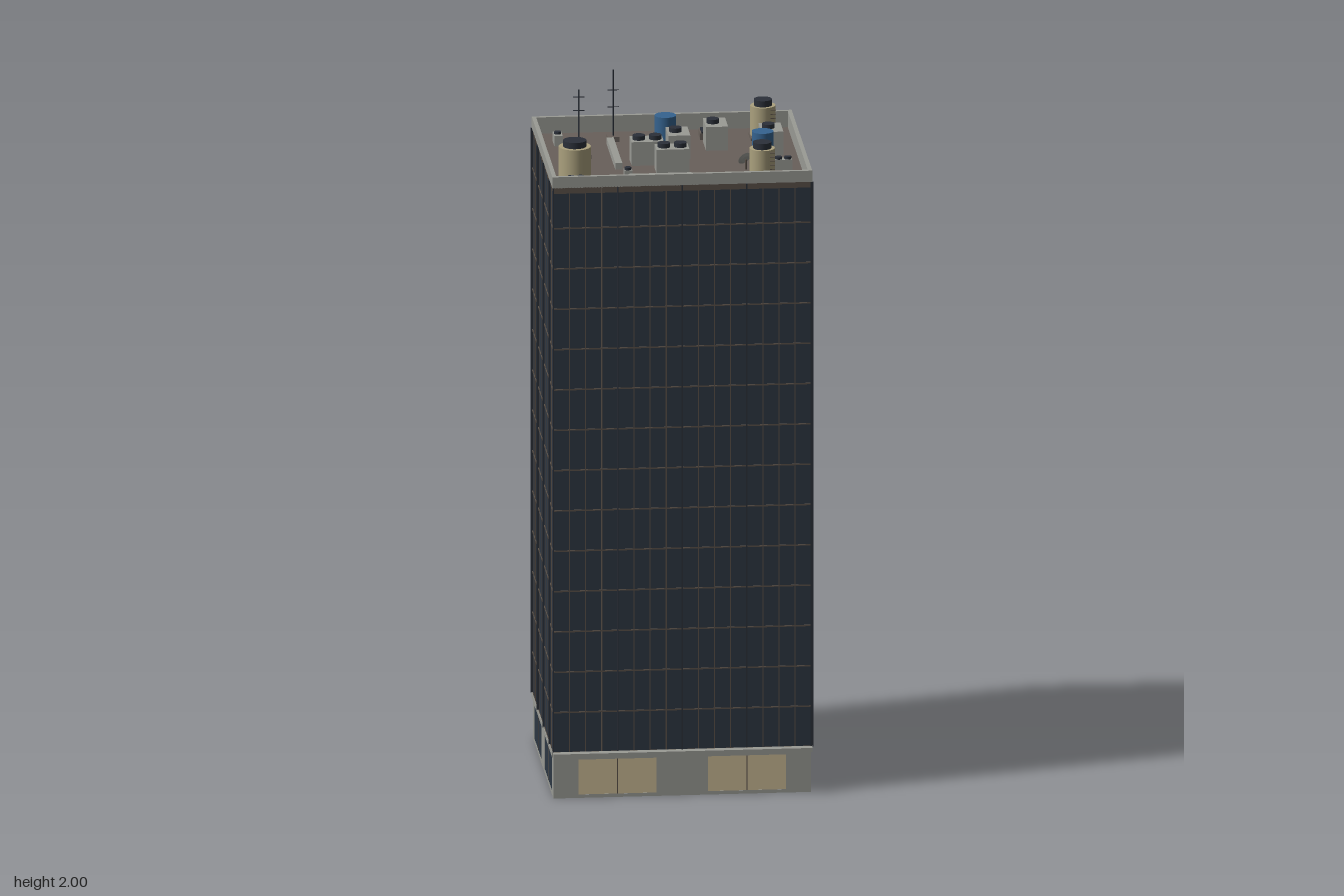
import * as THREE from 'three';

const mat = (name, color) => {
  const m = new THREE.MeshStandardMaterial({ color });
  m.name = name;
  return m;
};

export function createModel() {
  const concrete = mat('concrete', 0x9a9b95), glass = mat('dark glass', 0x2d3743);
  const trim = mat('bronze mullion', 0x5a5149), deckMat = mat('roof deck', 0x68605a);
  const tan = mat('tank tan', 0xaba17e), shop = mat('lit shop window', 0xc9b995);
  const blue = mat('blue tank', 0x35638f), dark = mat('dark metal', 0x2b3039);
  const root = new THREE.Group();
  root.name = 'officeTower';

  // Box given by its extents along each axis
  const box = (name, m, x0, x1, y0, y1, z0, z1, parent = root) => {
    const mesh = new THREE.Mesh(new THREE.BoxGeometry(x1 - x0, y1 - y0, z1 - z0), m);
    mesh.position.set((x0 + x1) / 2, (y0 + y1) / 2, (z0 + z1) / 2);
    mesh.name = name;
    parent.add(mesh);
    return mesh;
  };
  const cyl = (name, m, x, y0, y1, z, r, rTop = r, sides = 20, parent = root) => {
    const mesh = new THREE.Mesh(new THREE.CylinderGeometry(rTop, r, y1 - y0, sides), m);
    mesh.position.set(x, (y0 + y1) / 2, z);
    mesh.name = name;
    parent.add(mesh);
    return mesh;
  };
  // Four walls around a rectangle
  const ring = (name, m, x, zb, zf, y0, y1, t, parent = root) => {
    box(name, m, -x, x, y0, y1, zf - t, zf, parent);
    box(name, m, -x, x, y0, y1, zb, zb + t, parent);
    for (const s of [-1, 1])
      box(name, m, s * (x - t / 2) - t / 2, s * (x - t / 2) + t / 2, y0, y1, zb + t, zf - t, parent);
  };

  const X = 0.368, ZB = -0.321, ZF = 0.303, Y0 = 0.135, Y1 = 1.805, DECK = 1.79;

  // Tower body, roof deck and parapet
  box('towerGlass', glass, -X, X, 0.125, DECK - 0.002, ZB, ZF);
  box('roofDeck', deckMat, -X + 0.006, X - 0.006, DECK - 0.002, DECK, ZB + 0.006, ZF - 0.006);
  ring('parapetFoot', trim, X, ZB, ZF, DECK - 0.002, Y1, 0.008);
  ring('parapet', concrete, X + 0.003, ZB - 0.003, ZF + 0.002, Y1, 1.838, 0.012);
  ring('parapetLiner', concrete, X - 0.008, ZB + 0.008, ZF - 0.008, DECK, Y1, 0.001);

  // Curtain wall: floor lines, mullions and heavier posts
  const wall = new THREE.Group();
  wall.name = 'curtainWall';
  root.add(wall);
  const p = 0.002, w = 0.0015;
  for (let i = 0; i < 15; i++) {
    const y = Y0 + i * (Y1 - Y0) / 14;
    ring('floorLine', trim, X + p, ZB - p, ZF + p, y - 0.002, y + 0.002, 0.004, wall);
  }
  for (let i = 0; i <= 16; i++) {
    const x = -X + i * X / 8, post = i % 4 === 0;
    const d = post ? 0.005 : p, m = post ? dark : trim, n = post ? 'post' : 'mullion';
    const h = post ? 0.002 : w;
    box(n, m, x - h, x + h, Y0, Y1, ZF - 0.002, ZF + d, wall);
    box(n, m, x - h, x + h, Y0, Y1, ZB - d, ZB + 0.002, wall);
  }
  for (let i = 0; i < 15; i++) {
    const post = i % 4 === 0, d = post ? 0.006 : p, h = post ? 0.002 : w;
    const m = post ? dark : trim, n = post ? 'post' : 'mullion';
    if (i * 0.0447 > ZF - ZB) continue;
    const zr = ZF - i * 0.0447, zl = ZB + i * 0.0447;
    box(n, m, X - 0.002, X + d, Y0, Y1, zr - h, zr + h, wall);
    box(n, m, -X - d, -X + 0.002, Y0, Y1, zl - h, zl + h, wall);
  }

  // Ledge above the ground floor, deeper over the entrance
  ring('ledge', concrete, X + 0.004, ZB - 0.004, ZF + 0.004, 0.123, 0.137, 0.008);
  box('canopy', concrete, -X - 0.002, X + 0.002, 0.125, 0.137, ZF, 0.328);

  // Hollow ground floor: each side has two wide windows between piers
  const side = (name, len, windows, m, place) => {
    const g = new THREE.Group();
    g.name = name;
    root.add(g);
    place(g);
    const t = 0.008, y0 = 0.01, y1 = 0.113, h = len / 2;
    box('sill', concrete, -h, h, 0, y0, -t, 0, g);
    box('lintel', concrete, -h, h, y1, 0.125, -t, 0, g);
    let x = -h;
    for (const [a, b] of windows) {
      box('pier', concrete, x, a, y0, y1, -t, 0, g);
      box('window', m, a, b, y0, y1, -t + 0.001, -0.001, g);
      const c = (a + b) / 2;
      box('windowDivider', trim, c - 0.001, c + 0.001, y0, y1, -t, 0, g);
      x = b;
    }
    box('pier', concrete, x, h, y0, y1, -t, 0, g);
  };
  const wide = [[-0.296, -0.074], [0.074, 0.296]], narrow = [[-0.266, -0.045], [0.045, 0.266]];
  const zc = (ZB + ZF) / 2, depth = ZF - ZB - 0.016;
  side('frontStorefront', 2 * X, wide, shop, g => g.position.set(0, 0, ZF));
  side('backStorefront', 2 * X, wide, glass, g => { g.position.set(0, 0, ZB); g.rotation.y = Math.PI; });
  for (const s of [-1, 1])
    side('sideStorefront', depth, narrow, glass, g => { g.position.set(s * X, 0, zc); g.rotation.y = s * Math.PI / 2; });

  // Tan water tanks on square stands, with dark caps and ladders
  for (const [x, z, r, top, half] of [[-0.295, 0.177, 0.046, 1.892, 0.047], [0.279, -0.218, 0.036, 1.885, 0.038], [0.236, 0.22, 0.036, 1.885, 0.038]]) {
    box('tankStand', deckMat, x - half, x + half, DECK, DECK + 0.008, z - half, z + half);
    cyl('waterTank', tan, x, DECK + 0.008, top, z, r, r, 28);
    cyl('tankCap', dark, x, top, top + 0.018, z, r * 0.72, r * 0.72, 28);
    if (half < 0.04)
      for (let i = 0; i < 7; i++)
        box('ladderRung', trim, x + 0.019, x + 0.034, DECK + 0.015 + i * 0.012, DECK + 0.017 + i * 0.012, z + 0.031, z + 0.034);
  }

  // Blue tanks on pads
  for (const [x, z] of [[-0.005, -0.158], [0.255, 0.031]]) {
    box('blueTankPad', concrete, x - 0.032, x + 0.032, DECK, DECK + 0.012, z - 0.032, z + 0.032);
    cyl('blueTank', blue, x, DECK + 0.012, 1.88, z, 0.031, 0.031, 24);
  }

  // Air conditioners: [x0, x1, z0, z1, height, fan radius, fan centres]
  const units = [
    [0.105, 0.168, -0.185, -0.092, 0.07, 0.018, [[0.128, -0.137]]],
    [-0.01, 0.053, -0.105, -0.012, 0.07, 0.018, [[0.014, -0.058]]],
    [0.257, 0.32, -0.12, -0.026, 0.07, 0.018, [[0.281, -0.072]]],
    [-0.12, -0.028, -0.02, 0.043, 0.07, 0.018, [[-0.097, 0.012], [-0.05, 0.012]]],
    [-0.057, 0.037, 0.066, 0.128, 0.07, 0.018, [[-0.033, 0.097], [0.014, 0.097]]],
    [-0.32, -0.296, -0.228, -0.178, 0.03, 0.01, [[-0.308, -0.203]]],
    [-0.32, -0.296, 0.018 - 0.036, 0.058, 0.03, 0.01, [[-0.307, 0.02]]],
    [-0.325, -0.273, 0.245, 0.268, 0.03, 0.01, [[-0.312, 0.256], [-0.286, 0.256]]],
    [0.253, 0.331, 0.102, 0.125, 0.03, 0.01, [[0.266, 0.113], [0.293, 0.113], [0.319, 0.113]]],
    [-0.155, -0.132, 0.17, 0.192, 0.03, 0.01, [[-0.144, 0.181]]],
  ];
  for (const [x0, x1, z0, z1, h, r, fans] of units) {
    box('airUnit', concrete, x0, x1, DECK, DECK + h, z0, z1);
    for (const [x, z] of fans) cyl('fan', dark, x, DECK + h, DECK + h + r * 0.7, z, r);
    if (h > 0.05)
      for (let i = 0; i < 3; i++)
        box('louvre', dark, x0 + 0.008, x1 - 0.008, DECK + 0.015 + i * 0.016, DECK + 0.021 + i * 0.016, z0 - 0.001, z0);
  }

  // Ducts and skylight
  box('longDuct', concrete, -0.172, -0.152, DECK + 0.006, DECK + 0.026, -0.166, 0.098);
  box('frontDuct', concrete, -0.145, 0.035, DECK + 0.006, DECK + 0.026, 0.212, 0.232);
  box('skylightCurb', deckMat, 0.099, 0.157, DECK, DECK + 0.018, -0.264, -0.206);
  box('skylight', dark, 0.103, 0.153, DECK + 0.018, DECK + 0.022, -0.26, -0.21);

  // Roof hatch with pipework
  box('hatchBase', deckMat, -0.285, -0.227, DECK, DECK + 0.012, -0.095, -0.038);
  box('hatchTop', deckMat, -0.28, -0.232, DECK + 0.012, DECK + 0.022, -0.09, -0.043);
  cyl('hatchVent', deckMat, -0.262, DECK + 0.022, DECK + 0.034, -0.07, 0.013);
  cyl('hatchVent', deckMat, -0.247, DECK + 0.022, DECK + 0.03, -0.059, 0.013);

  // Antenna masts with crossbars
  for (const [x, z, top, bars] of [[-0.148, -0.221, 2, [1.89, 1.94]], [-0.252, -0.158, 1.962, [1.9, 1.94]]]) {
    box('mastPad', deckMat, x - 0.017, x + 0.017, DECK, DECK + 0.015, z - 0.017, z + 0.017);
    cyl('mast', dark, x, DECK + 0.015, top, z, 0.002, 0.002, 8);
    for (const y of bars) box('mastBar', dark, x - 0.016, x + 0.016, y - 0.001, y + 0.001, z - 0.001, z + 0.001);
  }

  // Satellite dish
  cyl('dishStand', trim, 0.2, DECK, DECK + 0.03, 0.108, 0.003, 0.003, 8);
  const dish = cyl('dish', concrete, 0.198, DECK + 0.028, DECK + 0.033, 0.105, 0.012, 0.021, 20);
  dish.quaternion.setFromUnitVectors(new THREE.Vector3(0, 1, 0), new THREE.Vector3(-0.45, 0.5, -0.75).normalize());

  return root;
}
